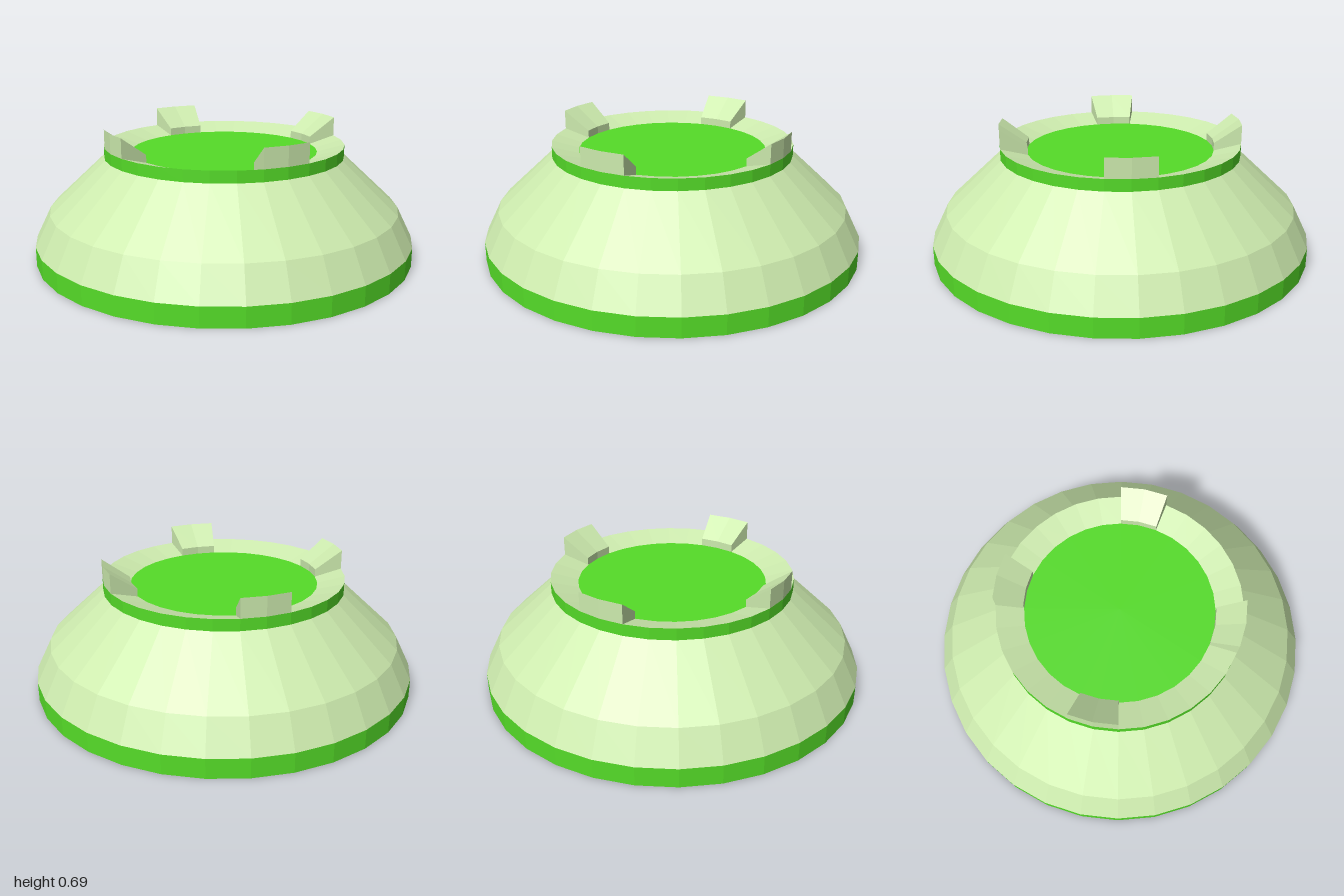
import * as THREE from 'three';
import { mergeGeometries } from 'three/addons/utils/BufferGeometryUtils.js';

const SIDES = 32;
const STEP = (Math.PI * 2) / SIDES;
const pale = new THREE.MeshStandardMaterial({ color: 0xcdebae, flatShading: true });
const green = new THREE.MeshStandardMaterial({ color: 0x55dc28, flatShading: true });

const points = (list) => list.map(([r, y]) => new THREE.Vector2(r, y));

function mesh(name, geometry, material) {
  const faceted = geometry.index ? geometry.toNonIndexed() : geometry;
  faceted.computeVertexNormals();
  const m = new THREE.Mesh(faceted, material);
  m.name = name;
  return m;
}

// Full turn of a profile of [radius, height] points
const ring = (name, profile, material) =>
  mesh(name, new THREE.LatheGeometry(points(profile), SIDES), material);

// Flat end of a tooth, standing in the radial plane at angle phi
function toothEnd(profile, phi, flip) {
  const end = new THREE.ShapeGeometry(new THREE.Shape(points(profile)));
  end.rotateY(phi - Math.PI / 2);
  if (flip) end.index.array.reverse();
  return end;
}

// Wedge two facets wide, centred on the diagonal
function toothGeometry() {
  const profile = [[0.49, 0.55], [0.63, 0.59], [0.63, 0.69], [0.49, 0.59]];
  const start = 3 * STEP;
  const body = new THREE.LatheGeometry(points([...profile, profile[0]]), 2, start, 2 * STEP);
  return mergeGeometries([
    body,
    toothEnd(profile, start, false),
    toothEnd(profile, start + 2 * STEP, true),
  ]);
}

export function createModel() {
  const model = new THREE.Group();
  model.name = 'domedBase';

  // Body, from the ground up
  const underside = mesh('underside', new THREE.CircleGeometry(1, SIDES), pale);
  underside.rotation.x = Math.PI / 2;
  model.add(underside);
  model.add(ring('baseBand', [[1, 0], [1, 0.1]], green));
  model.add(ring('dome', [[1, 0.1], [0.92, 0.26], [0.63, 0.53]], pale));
  model.add(ring('rimBand', [[0.63, 0.53], [0.63, 0.59]], green));

  // Dished top
  model.add(ring('dishedRim', [[0.63, 0.59], [0.49, 0.55]], pale));
  const disc = mesh('topDisc', new THREE.CircleGeometry(0.49, SIDES), green);
  disc.rotation.x = -Math.PI / 2;
  disc.position.y = 0.55;
  model.add(disc);

  // Four teeth on the rim
  const teeth = new THREE.Group();
  teeth.name = 'teeth';
  for (let i = 0; i < 4; i++) {
    const tooth = mesh('tooth', toothGeometry(), pale);
    tooth.rotation.y = (i * Math.PI) / 2;
    teeth.add(tooth);
  }
  model.add(teeth);

  return model;
}
